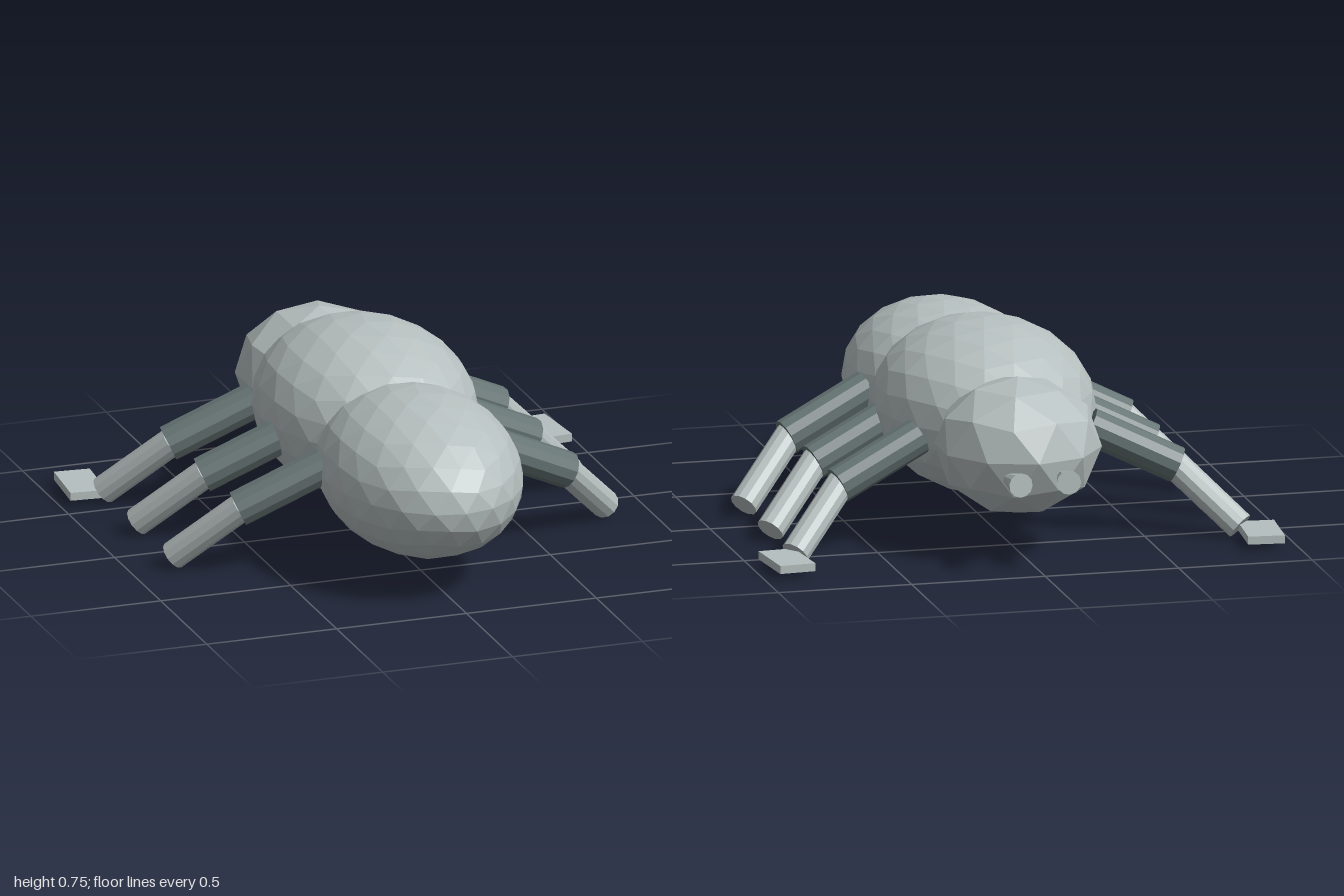
import * as THREE from 'three';

const shell = new THREE.MeshStandardMaterial({ name: 'paleGrey', color: 0xb6bfbf, flatShading: true });
const dark = new THREE.MeshStandardMaterial({ name: 'darkGrey', color: 0x657373, flatShading: true });

// Icosphere with its poles on the y axis, split in half `splits` times
function icosphere(splits) {
  const verts = [0, 1, 0, 0, -1, 0];
  const faces = [];
  const h = 1 / Math.sqrt(5), r = 2 * h;
  for (let i = 0; i < 5; i++) {
    const a = i * Math.PI * 0.4, b = a + Math.PI * 0.2;
    verts.push(r * Math.cos(a), h, -r * Math.sin(a), r * Math.cos(b), -h, -r * Math.sin(b));
    const u = 2 + 2 * i, l = u + 1, u2 = 2 + 2 * ((i + 1) % 5), l2 = u2 + 1;
    faces.push(0, u, u2, u, l, u2, l, l2, u2, 1, l2, l);
  }
  let geo = new THREE.PolyhedronGeometry(verts, faces, 1, 0);
  for (let s = 0; s < splits; s++) {
    const pos = Array.from(geo.attributes.position.array);
    geo = new THREE.PolyhedronGeometry(pos, pos.slice(0, pos.length / 3).map((_, i) => i), 1, 1);
  }
  return geo;
}

function bodyPart(name, splits, center, radii) {
  const geo = icosphere(splits).scale(...radii);
  geo.computeVertexNormals();
  const mesh = new THREE.Mesh(geo, shell);
  mesh.name = name;
  mesh.position.set(...center);
  return mesh;
}

// Round rod between two points, which may taper
function rod(name, from, to, r0, r1, material) {
  const a = new THREE.Vector3(...from), b = new THREE.Vector3(...to);
  const dir = b.clone().sub(a);
  const mesh = new THREE.Mesh(new THREE.CylinderGeometry(r1, r0, dir.length(), 12), material);
  mesh.name = name;
  mesh.position.copy(a).add(b).multiplyScalar(0.5);
  mesh.quaternion.setFromUnitVectors(new THREE.Vector3(0, 1, 0), dir.normalize());
  return mesh;
}

export function createModel() {
  const model = new THREE.Group();
  model.name = 'insect';

  // Body
  model.add(
    bodyPart('abdomen', 2, [0, 0.383, 0.49], [0.36, 0.295, 0.51]),
    bodyPart('thorax', 2, [0, 0.435, -0.1], [0.4, 0.32, 0.52]),
    bodyPart('head', 1, [0, 0.398, -0.6], [0.305, 0.254, 0.315]),
  );

  for (const side of [1, -1]) {
    const label = side > 0 ? 'left' : 'right';

    // Three legs on each side
    ['Front', 'Middle', 'Rear'].forEach((place, i) => {
      const z = [0, 0.365, 0.755][i];
      const leg = new THREE.Group();
      leg.name = `${label}${place}Leg`;
      leg.add(
        rod('upperLeg', [side * 0.32, 0.4, z - 0.39], [side * 0.635, 0.248, z - 0.447], 0.068, 0.068, dark),
        rod('lowerLeg', [side * 0.62, 0.258, z - 0.44], [side * 0.833, 0.042, z - 0.595], 0.053, 0.053, shell),
      );
      model.add(leg);
    });

    // Flat foot on the front leg
    const foot = new THREE.Mesh(new THREE.BoxGeometry(0.135, 0.03, 0.24), shell);
    foot.name = `${label}Foot`;
    foot.position.set(side * 0.888, 0.038, -0.69);
    foot.rotation.y = side * 0.085;
    model.add(foot);

    // Flared feeler
    model.add(rod(`${label}Feeler`, [side * 0.104, 0.335, -0.83], [side * 0.09, 0.345, -0.997], 0.015, 0.045, shell));
  }
  return model;
}
